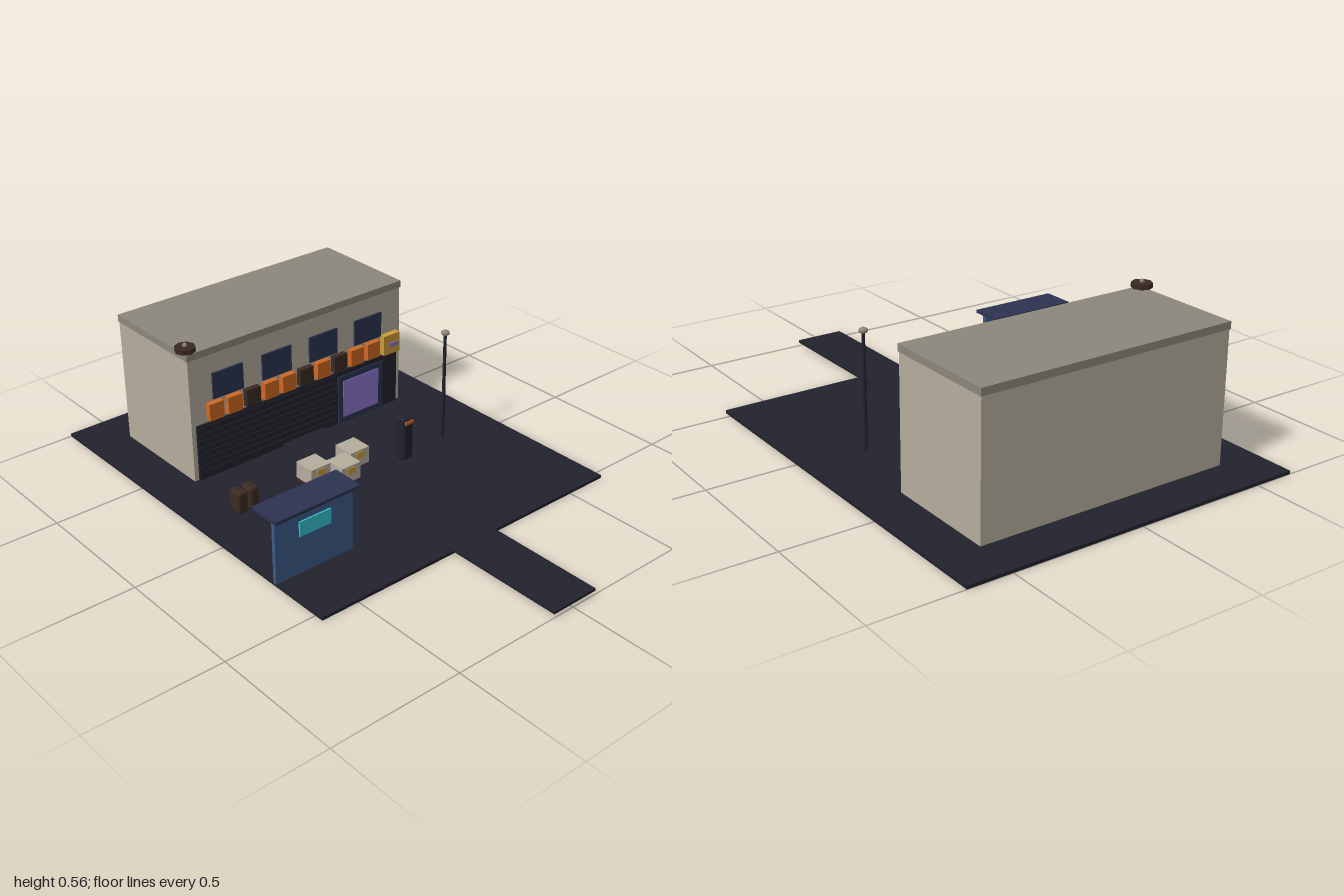
import * as THREE from 'three';
import { RoundedBoxGeometry } from 'three/addons/geometries/RoundedBoxGeometry.js';

const mat = (name, color) => {
  const m = new THREE.MeshStandardMaterial({ color });
  m.name = name;
  return m;
};

export function createModel() {
  const asphalt = mat('asphalt', 0x22222d);
  const plaster = mat('plaster', 0xb6ad9d);
  const concrete = mat('concrete', 0x8c877d);
  const navy = mat('navy', 0x2d3452);
  const blue = mat('blue', 0x3d5b89);
  const cyan = mat('cyan', 0x35c2cc);
  const orange = mat('orange', 0xcf6822);
  const brown = mat('brown', 0x3a2b23);
  const purple = mat('purple', 0x8f74cc);
  const yellow = mat('yellow', 0xcb9b35);

  const root = new THREE.Group();
  root.name = 'streetScene';
  const add = (name, geo, material, x = 0, y = 0, z = 0, parent = root) => {
    const m = new THREE.Mesh(geo, material);
    m.name = name;
    m.position.set(x, y, z);
    parent.add(m);
    return m;
  };
  // box given by its limits on each axis
  const box = (name, material, [x0, x1], [y0, y1], [z0, z1], parent = root) =>
    add(name, new THREE.BoxGeometry(x1 - x0, y1 - y0, z1 - z0), material,
      (x0 + x1) / 2, (y0 + y1) / 2, (z0 + z1) / 2, parent);
  const group = (name) => {
    const g = new THREE.Group();
    g.name = name;
    root.add(g);
    return g;
  };

  // Ground and walkway
  box('ground', asphalt, [-1, 0.535], [0, 0.012], [-0.665, 0.65]);
  box('walkway', asphalt, [-0.39, 1], [0.014, 0.024], [-0.105, 0.088]);

  // Building
  const building = group('building');
  box('walls', plaster, [-0.835, -0.397], [0.012, 0.5], [-0.5, 0.488], building);
  box('roofCap', concrete, [-0.838, -0.394], [0.498, 0.525], [-0.503, 0.491], building);
  box('shopFront', asphalt, [-0.397, -0.389], [0.012, 0.235], [-0.48, 0.47], building);
  for (let i = 0; i < 8; i++) {
    const y = 0.03 + i * 0.026;
    box('shutterSlat', asphalt, [-0.39, -0.385], [y, y + 0.014], [-0.17, 0.465], building);
  }
  box('doorFrame', navy, [-0.39, -0.384], [0.012, 0.215], [-0.405, -0.18], building);
  box('doorPanel', purple, [-0.385, -0.381], [0.037, 0.192], [-0.38, -0.203], building);
  for (let i = 0; i < 4; i++) {
    const z = 0.324 - i * 0.2197;
    box('window', navy, [-0.398, -0.39], [0.32, 0.423], [z - 0.067, z + 0.067], building);
  }

  // Row of sign boxes
  const signs = group('signs');
  for (let i = 0; i < 10; i++) {
    const z = 0.39 - i * 0.0823;
    const material = [2, 5, 7].includes(i) ? brown : orange;
    box('signBox', material, [-0.397, -0.374], [0.246, 0.313], [z - 0.031, z + 0.031], signs);
  }
  box('endSign', yellow, [-0.397, -0.372], [0.24, 0.322], [-0.482, -0.402], signs);
  box('endSignStripe', purple, [-0.373, -0.368], [0.27, 0.288], [-0.473, -0.427], signs);

  // Round unit at the roof corner
  const vent = group('roofUnit');
  const disc = new THREE.CylinderGeometry(0.038, 0.038, 0.018, 8).toNonIndexed();
  disc.computeVertexNormals();
  add('disc', disc, brown, -0.42, 0.539, 0.478, vent);
  add('knob', new THREE.SphereGeometry(0.009, 8, 6), concrete, -0.42, 0.552, 0.478, vent);

  // Street lamp
  const lamp = group('streetLamp');
  add('pole', new THREE.CylinderGeometry(0.006, 0.007, 0.43, 8), asphalt, -0.056, 0.227, -0.424, lamp);
  const head = add('lampHead', new THREE.SphereGeometry(0.017, 10, 6), concrete, -0.056, 0.45, -0.424, lamp);
  head.scale.y = 0.65;

  // Upright terminal with an orange band
  const terminal = group('terminal');
  add('body', new RoundedBoxGeometry(0.053, 0.175, 0.05, 2, 0.012), asphalt, -0.034, 0.0995, -0.205, terminal);
  box('band', orange, [-0.009, -0.004], [0.164, 0.177], [-0.224, -0.186], terminal);

  // Crates with tags
  const crates = group('crates');
  for (const [x, z] of [[-0.121, -0.027], [-0.057, 0.069], [-0.121, 0.157]]) {
    box('crate', plaster, [x - 0.044, x + 0.044], [0.024, 0.09], [z - 0.044, z + 0.044], crates);
    box('crateTag', yellow, [x + 0.042, x + 0.047], [0.057, 0.082], [z - 0.018, z + 0.018], crates);
  }
  box('pallet', brown, [-0.165, -0.077], [0.012, 0.024], [0.1, 0.2], crates);

  // Pair of rounded bins
  for (const z of [0.43, 0.481]) {
    add('bin', new RoundedBoxGeometry(0.06, 0.087, 0.044, 2, 0.012), brown, -0.136, 0.0555, z);
  }

  // Shelter
  const shelter = group('shelter');
  box('panel', blue, [0.287, 0.302], [0.012, 0.256], [0.327, 0.653], shelter);
  box('canopy', navy, [0.198, 0.325], [0.255, 0.267], [0.312, 0.663], shelter);
  box('screen', cyan, [0.3, 0.308], [0.157, 0.214], [0.423, 0.555], shelter);

  return root;
}
